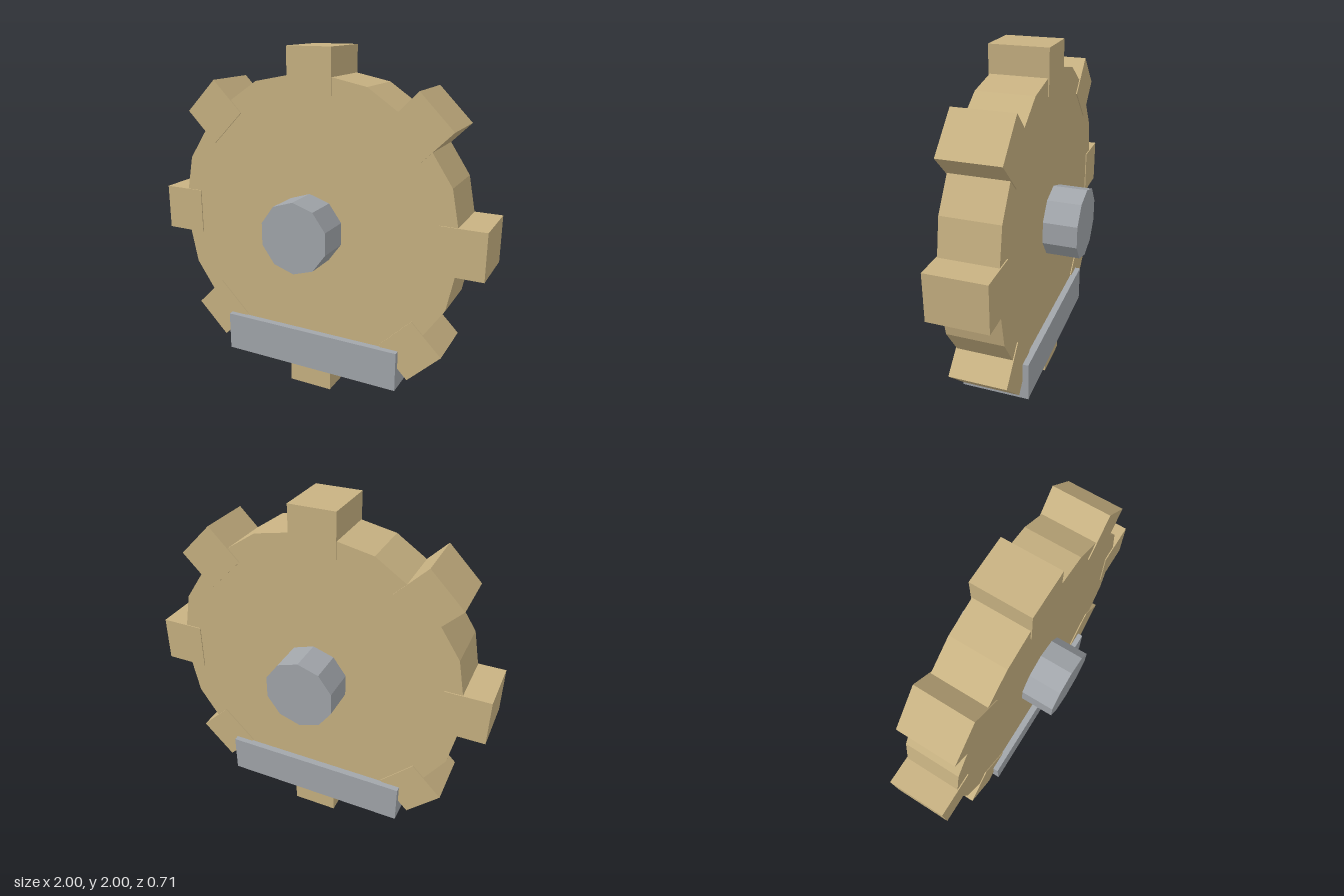
import * as THREE from 'three';

const tan = new THREE.MeshStandardMaterial({ color: 0xc8b282 });
tan.name = 'tan wood';
const grey = new THREE.MeshStandardMaterial({ color: 0xa2a6ab });
grey.name = 'grey metal';

// Faceted prism whose axis runs along z, with one corner pointing straight down
function prism(radius, depth, sides) {
  const g = new THREE.CylinderGeometry(radius, radius, depth, sides).toNonIndexed();
  g.rotateX(Math.PI / 2);
  g.computeVertexNormals();
  return g;
}

export function createModel() {
  const model = new THREE.Group();
  model.name = 'cogWheel';

  const add = (name, geometry, material, y = 1) => {
    const mesh = new THREE.Mesh(geometry, material);
    mesh.name = name;
    mesh.position.y = y;
    model.add(mesh);
    return mesh;
  };

  // Sixteen-sided wheel and ten-sided axle
  add('wheelDisc', prism(0.873, 0.318, 16), tan);
  add('axle', prism(0.205, 0.71, 10), grey);

  // Eight square teeth around the rim, slightly thicker than the disc
  const toothGeometry = new THREE.BoxGeometry(0.266, 0.25, 0.33);
  toothGeometry.translate(0, 0.875, 0);
  for (let i = 0; i < 8; i++) {
    add(`tooth${i + 1}`, toothGeometry, tan).rotation.z = (i * Math.PI) / 4;
  }

  // Crossbar through the lower part of the wheel
  add('crossbar', new THREE.BoxGeometry(1.11, 0.235, 0.396), grey, 0.248);

  return model;
}
